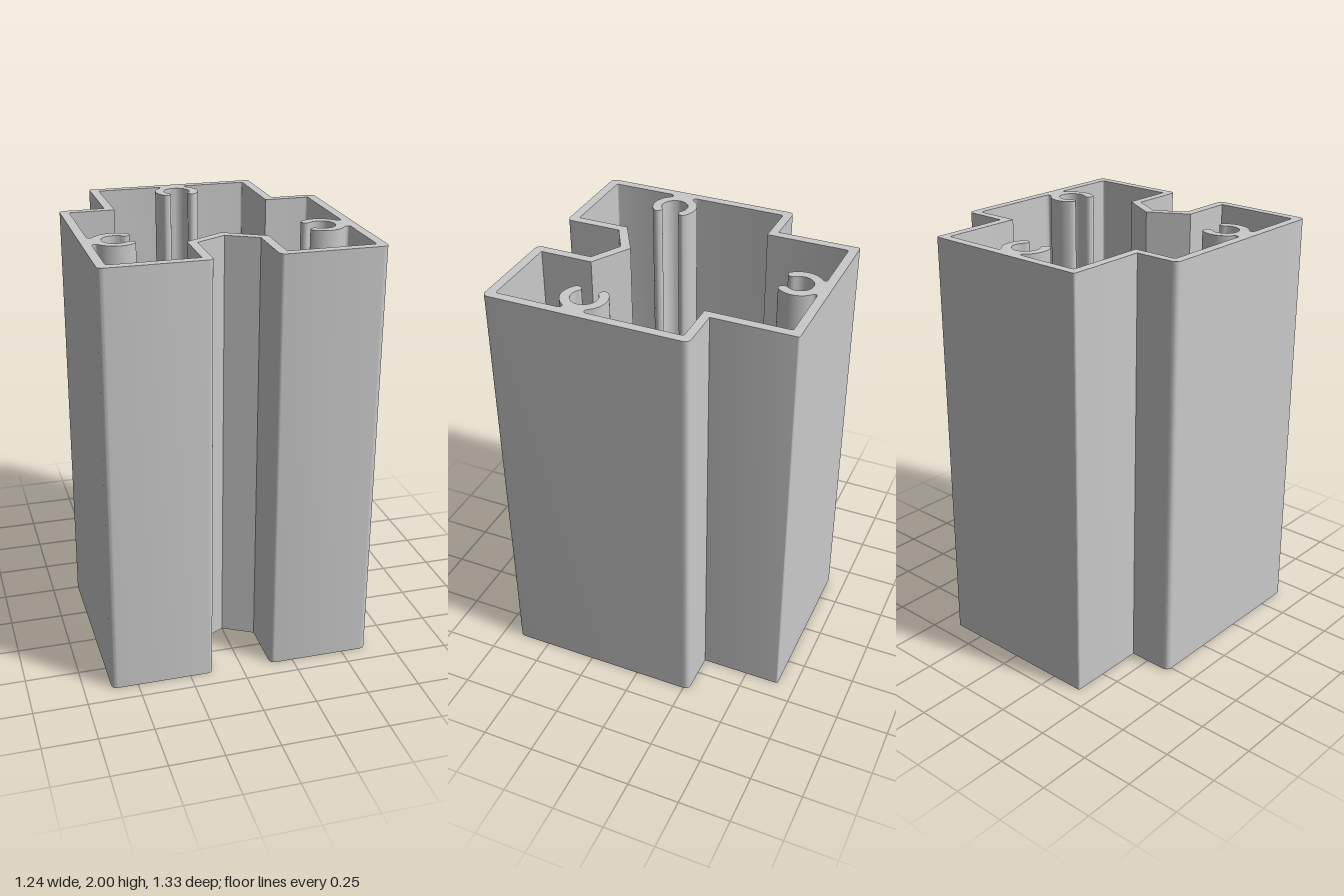
import * as THREE from 'three';
import { toCreasedNormals } from 'three/addons/utils/BufferGeometryUtils.js';

const HEIGHT = 2;
const GUARD = 0.002; // short flat strip beside each fillet keeps the large faces evenly shaded
const V = (x, y) => new THREE.Vector2(x, y);

// Half of a C-shaped screw port, from the wall round the tip to the bore centreline.
// x = distance from the port centre towards the wall, y = sideways distance.
function halfPort(wall, neck) {
  const R = 0.105, r = 0.062, mid = (R + r) / 2, tip = (R - r) / 2;
  const a0 = Math.asin(neck / R), a1 = THREE.MathUtils.degToRad(130);
  const polar = (rad, a) => V(rad * Math.cos(a), rad * Math.sin(a));
  const start = polar(R, a0);
  const lead = V(start.x + 0.017 * Math.sin(a0), start.y - 0.017 * Math.cos(a0));
  // fillet between wall and port
  const fillet = new THREE.CubicBezierCurve(
    V(wall, neck + 0.008), V(wall, neck - 0.01), lead, start);
  const pts = [V(wall, neck + 0.008 + GUARD), ...fillet.getPoints(10)];
  // outer arc
  for (let i = 1; i <= 16; i++) pts.push(polar(R, a0 + (a1 - a0) * i / 16));
  // rounded tip
  const c = polar(mid, a1);
  for (let i = 1; i < 10; i++) pts.push(polar(tip, a1 + Math.PI * i / 10).add(c));
  // bore
  for (let i = 0; i <= 16; i++) pts.push(polar(r, a1 * (1 - i / 16)));
  return pts;
}

// Rounds every [x, z, radius] corner of an open outline; plain points pass through.
function roundCorners(list) {
  const out = [];
  list.forEach((p, i) => {
    const c = V(p[0], p[1]);
    if (!p[2]) { out.push(c); return; }
    const towards = (q) => V(q[0], q[1]).sub(c).normalize();
    const u = towards(list[i - 1]), w = towards(list[i + 1]);
    const centre = c.clone().addScaledVector(u, p[2]).addScaledVector(w, p[2]);
    out.push(c.clone().addScaledVector(u, p[2] + GUARD));
    for (let k = 0; k <= 6; k++) {
      const a = (Math.PI / 2) * k / 6;
      out.push(centre.clone()
        .addScaledVector(w, -p[2] * Math.cos(a)).addScaledVector(u, -p[2] * Math.sin(a)));
    }
    out.push(c.clone().addScaledVector(w, p[2] + GUARD));
  });
  return out;
}

// Mirrors a half outline (back centre to front centre) and turns z into shape y.
function mirrored(half) {
  const left = half.slice(1, -1).reverse().map((p) => V(-p.x, p.y));
  return [...half, ...left].map((p) => V(p.x, -p.y));
}

export function createModel() {
  const aluminium = new THREE.MeshStandardMaterial({ color: 0xcacaca });
  aluminium.name = 'aluminium grey';

  // Outer skin with stepped back and pointed front groove
  const outer = roundCorners([
    [0, -0.665], [0.41, -0.665, 0.01], [0.41, -0.278], [0.622, -0.278, 0.027],
    [0.622, 0.665, 0.027], [0.14, 0.665, 0.027], [0.14, 0.4], [0, 0.322],
  ]);

  // Hollow interior, including the back port and the side ports
  const backPort = halfPort(0.1, 0.07).reverse().map((p) => [p.y, -0.523 - p.x]);
  const side = halfPort(0.114, 0.06);
  const sideX = 0.466, sideZ = 0.264;
  const inner = roundCorners([
    ...backPort,
    [0.368, -0.623, 0.01], [0.368, -0.238], [0.58, -0.238, 0.01],
    ...side.map((p) => [sideX + p.x, sideZ - p.y]),
    ...side.slice(0, -1).reverse().map((p) => [sideX + p.x, sideZ + p.y]),
    [0.58, 0.622, 0.01], [0.182, 0.622], [0.182, 0.377], [0, 0.273],
  ]);

  // The hole winds the opposite way to the skin so its walls face inwards
  const section = new THREE.Shape(mirrored(outer));
  section.holes.push(new THREE.Path(mirrored(inner).reverse()));

  // Extrude the section upwards
  const geometry = new THREE.ExtrudeGeometry(section, { depth: HEIGHT, bevelEnabled: false });
  geometry.rotateX(-Math.PI / 2);
  const profile = new THREE.Mesh(toCreasedNormals(geometry, 0.5), aluminium);
  profile.name = 'extrudedProfile';

  const group = new THREE.Group();
  group.name = 'hollowPost';
  group.add(profile);
  return group;
}
